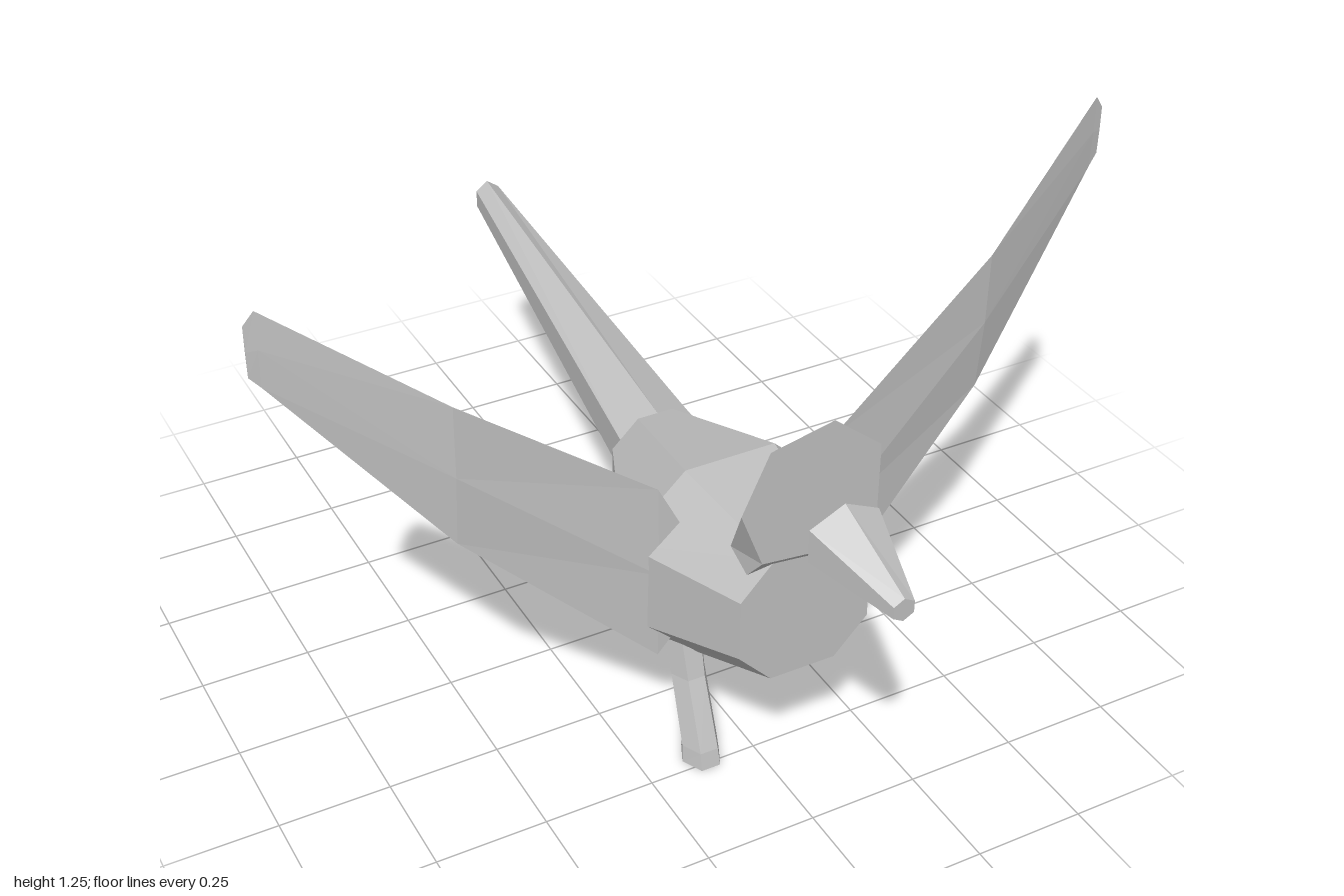
import * as THREE from 'three';

const grey = new THREE.MeshStandardMaterial({ color: 0xc0c0c0, flatShading: true });
grey.name = 'plain grey';

// Skin a list of equal-length rings, close both ends, and face everything outward.
function loft(name, rings) {
  const n = rings[0].length;
  const tris = [];
  for (let r = 0; r < rings.length - 1; r++) {
    for (let i = 0; i < n; i++) {
      const j = (i + 1) % n;
      const a = rings[r][i], b = rings[r][j], c = rings[r + 1][j], d = rings[r + 1][i];
      tris.push([a, b, c], [a, c, d]);
    }
  }
  const first = rings[0], last = rings[rings.length - 1];
  for (let i = 1; i < n - 1; i++) {
    tris.push([first[0], first[i + 1], first[i]], [last[0], last[i], last[i + 1]]);
  }
  const V = (p) => new THREE.Vector3(...p);
  const origin = V(first[0]);
  let volume = 0;
  for (const t of tris) {
    const [a, b, c] = t.map((p) => V(p).sub(origin));
    volume += a.dot(b.cross(c));
  }
  if (volume < 0) tris.forEach((t) => t.reverse());
  const geometry = new THREE.BufferGeometry();
  geometry.setAttribute('position', new THREE.Float32BufferAttribute(tris.flat(2), 3));
  geometry.computeVertexNormals();
  const mesh = new THREE.Mesh(geometry, grey);
  mesh.name = name;
  return mesh;
}

// Octagon across z with flat top, bottom and sides.
function octagon(z, w, flatX, low, high, sideLow, sideHigh) {
  return [
    [-flatX, low, z], [flatX, low, z], [w, sideLow, z], [w, sideHigh, z],
    [flatX, high, z], [-flatX, high, z], [-w, sideHigh, z], [-w, sideLow, z],
  ];
}

// Six-sided ring across z with a corner on top.
function hexUpright(x, y, z, w, h) {
  return Array.from({ length: 6 }, (_, i) => {
    const a = (i * Math.PI) / 3;
    return [x + (w * Math.sin(a)) / Math.sin(Math.PI / 3), y + h * Math.cos(a), z];
  });
}

// Level six-sided ring for the legs.
function hexLevel(x, y, z, rx, rz) {
  return Array.from({ length: 6 }, (_, i) => {
    const a = (i * Math.PI) / 3;
    return [x + rx * Math.cos(a), y, z + rz * Math.sin(a)];
  });
}

// Thin diamond section of a wing.
function wingSection(side, x, low, high, z, t, lean = 0) {
  const mid = (low + high) / 2;
  return [
    [side * x, high, z + lean], [side * x, mid, z + t],
    [side * x, low, z - lean], [side * x, mid, z - t],
  ];
}

export function createModel() {
  const model = new THREE.Group();
  model.name = 'bird';

  // Faceted barrel body
  model.add(loft('body', [
    octagon(0.68, 0.15, 0.075, 0.36, 0.66, 0.44, 0.58),
    octagon(0.37, 0.25, 0.105, 0.225, 0.69, 0.36, 0.555),
    octagon(0.04, 0.105, 0.042, 0.39, 0.6, 0.445, 0.54),
  ]));

  // Long tail, tapering slightly to the model's left
  model.add(loft('tail', [
    hexUpright(0.005, 0.515, 0.05, 0.092, 0.085),
    hexUpright(0.07, 0.625, -1, 0.03, 0.043),
  ]));

  // Seven-sided head leaning forward from the neck
  const face = [
    [-0.1, 0.93, 0.69], [0.04, 0.96, 0.69], [0.15, 0.87, 0.69], [0.15, 0.71, 0.69],
    [0.03, 0.655, 0.69], [-0.11, 0.67, 0.69], [-0.16, 0.8, 0.69],
  ];
  const neck = [
    [-0.08, 0.68, 0.6], [0.03, 0.69, 0.6], [0.12, 0.68, 0.605], [0.135, 0.64, 0.64],
    [0.02, 0.605, 0.655], [-0.12, 0.62, 0.65], [-0.135, 0.67, 0.61],
  ];
  model.add(loft('head', [face, neck]));

  // Separate beak ahead of the face
  model.add(loft('beak', [
    hexUpright(0, 0.777, 0.8, 0.077, 0.073),
    hexUpright(0.008, 0.735, 1, 0.023, 0.026),
  ]));

  // Raised wings, sweeping back toward the tips
  for (const side of [-1, 1]) {
    model.add(loft(side > 0 ? 'leftWing' : 'rightWing', [
      wingSection(side, 0.155, 0.36, 0.62, 0.445, 0.003),
      wingSection(side, 0.205, 0.295, 0.72, 0.44, 0.005),
      wingSection(side, 0.61, 0.68, 1.01, 0.375, 0.006, 0.008),
      wingSection(side, 0.935, 1.085, 1.25, 0.268, 0.002),
      wingSection(side, 0.957, 1.11, 1.22, 0.262, 0.001),
    ]));
  }

  // Legs in mid stride: the right one forward, the left one bent back
  model.add(loft('rightLeg', [
    hexLevel(-0.11, 0.3, 0.365, 0.045, 0.05),
    hexLevel(-0.11, 0.19, 0.4, 0.04, 0.045),
    hexLevel(-0.115, 0.04, 0.465, 0.042, 0.05),
    hexLevel(-0.115, 0, 0.471, 0.045, 0.054),
  ]));
  model.add(loft('leftLeg', [
    hexLevel(0.115, 0.3, 0.36, 0.045, 0.048),
    hexLevel(0.115, 0.18, 0.325, 0.042, 0.05),
    hexLevel(0.113, 0.07, 0.25, 0.04, 0.05),
    hexLevel(0.113, 0.03, 0.25, 0.043, 0.052),
  ]));

  return model;
}
